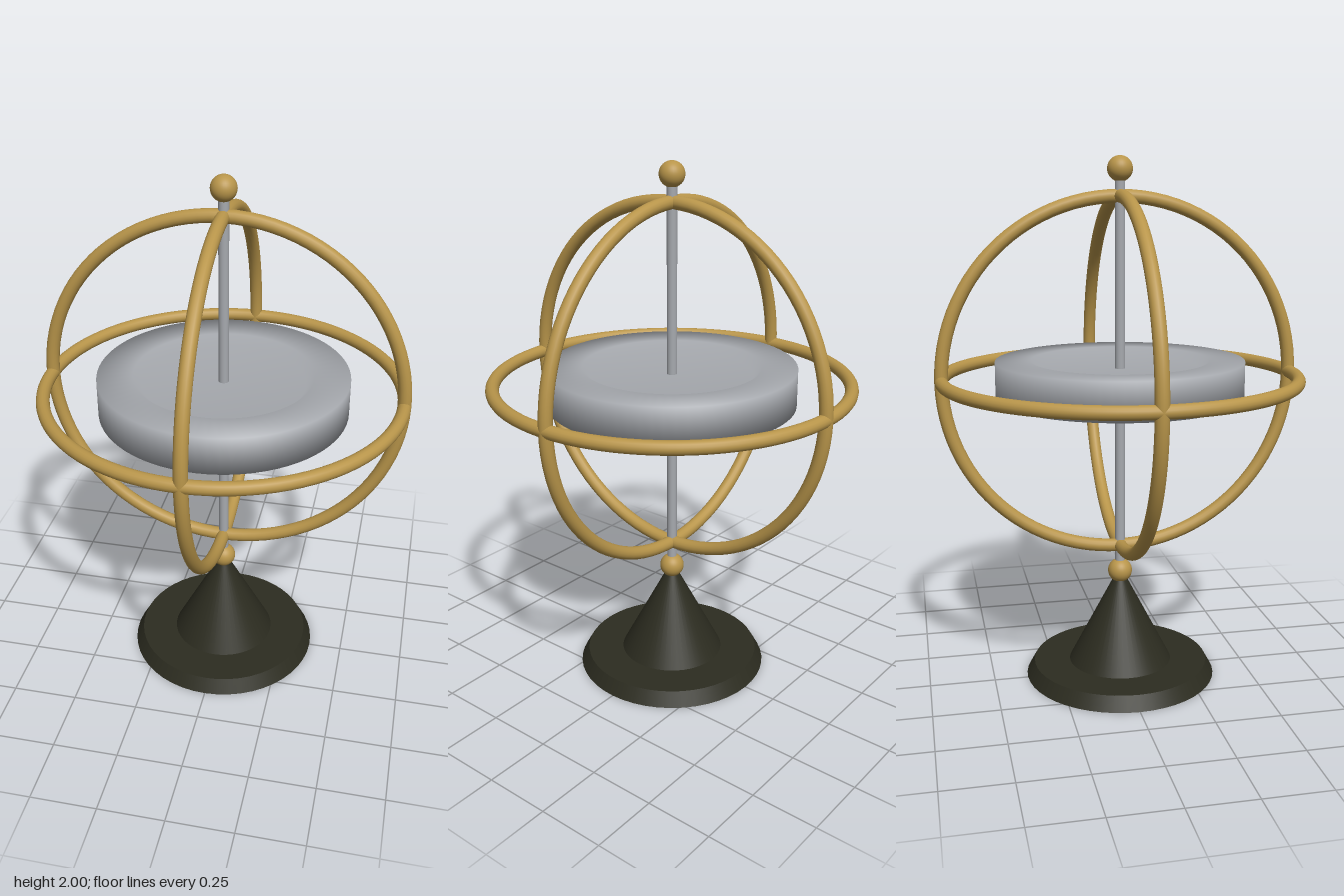
import * as THREE from 'three';

export function createModel() {
  const model = new THREE.Group();
  model.name = 'gyroscope';

  const material = (name, color) => {
    const m = new THREE.MeshStandardMaterial({ color });
    m.name = name;
    return m;
  };
  const brass = material('brass', 0xb8954a);
  const steel = material('steel', 0xa6a9ae);
  const dark = material('dark base', 0x2c2c20);

  const add = (name, geometry, mat, y) => {
    const mesh = new THREE.Mesh(geometry, mat);
    mesh.name = name;
    mesh.position.y = y;
    model.add(mesh);
    return mesh;
  };

  const centre = 1.19;

  // Stand: bevelled foot and cone
  add('foot', new THREE.CylinderGeometry(0.34, 0.37, 0.054, 48), dark, 0.027);
  add('standCone', new THREE.CylinderGeometry(0.02, 0.2, 0.346, 48), dark, 0.227);

  // Axle with a ball at each end
  add('axle', new THREE.CylinderGeometry(0.019, 0.019, 1.52, 24), steel, 1.19);
  add('lowerBall', new THREE.SphereGeometry(0.047, 32, 20), brass, 0.42);
  add('upperBall', new THREE.SphereGeometry(0.047, 32, 20), brass, 1.953);

  // Three crossing cage rings
  const ring = new THREE.TorusGeometry(0.666, 0.025, 16, 96);
  add('frontRing', ring, brass, centre);
  add('sideRing', ring, brass, centre).rotation.y = Math.PI / 2;
  add('equatorRing', ring, brass, centre).rotation.x = Math.PI / 2;

  // Flywheel: heavy rim around a recessed web, softly shaded over its edges
  const half = [[0, 0.038], [0.305, 0.038], [0.335, 0.071], [0.468, 0.071]];
  const profile = [
    ...half.map(([r, y]) => new THREE.Vector2(r, -y)),
    ...half.slice().reverse().map(([r, y]) => new THREE.Vector2(r, y)),
  ];
  add('flywheel', new THREE.LatheGeometry(profile, 72), steel, 1.184);

  return model;
}
